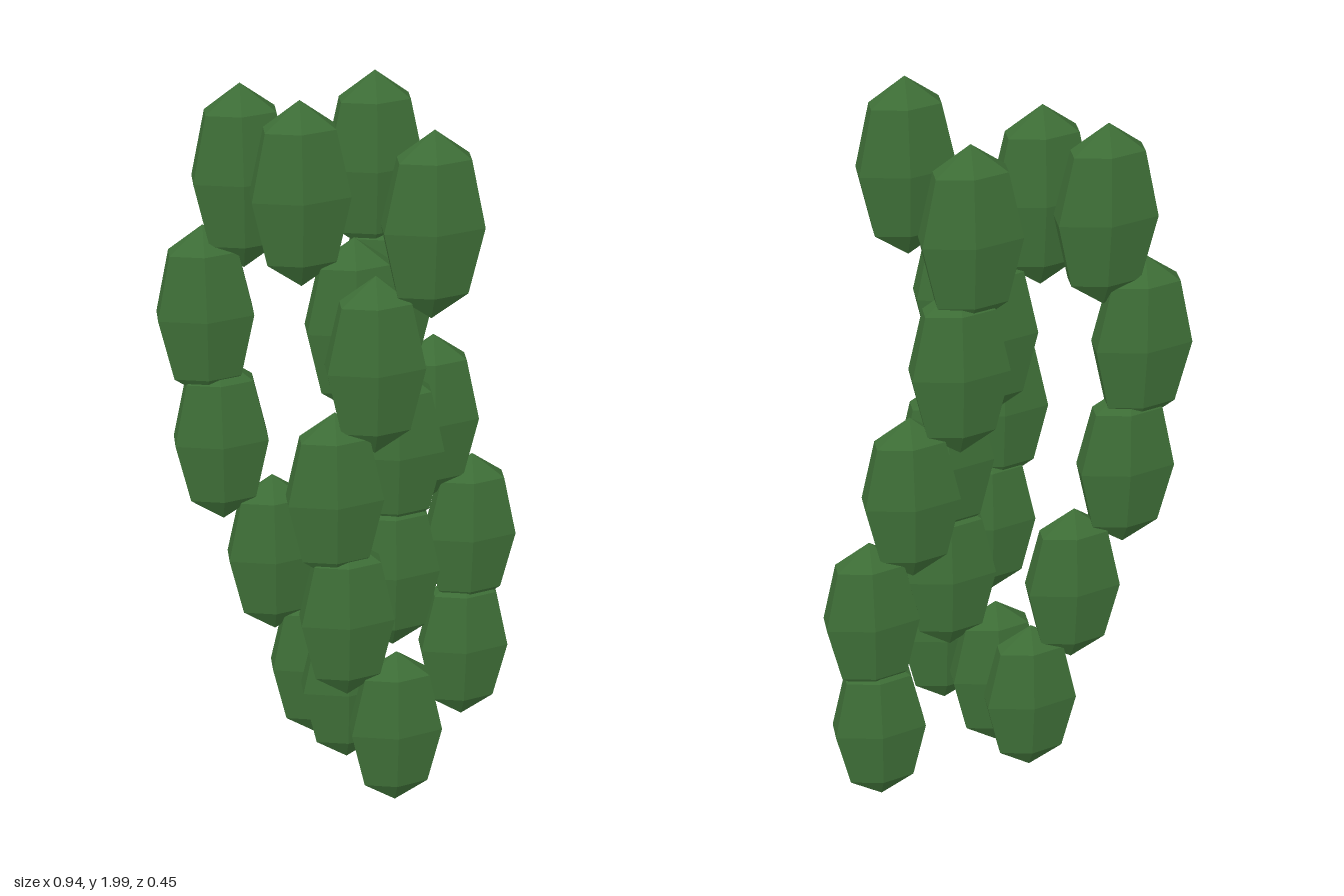
import * as THREE from 'three';

const HALF_HEIGHT = 0.25;
const STEP = 0.3735; // vertical spacing between leaves

// Each strand hangs in its own plane; x lists leaf centres from top to bottom
const STRANDS = [
  { name: 'frontStrand', z: 0.17, x: [0.17, 0.035, -0.065, -0.035, 0.095] },
  { name: 'middleStrand', z: -0.028, x: [-0.12, 0.01, 0.12, 0.115, -0.01] },
  { name: 'rightStrand', z: -0.143, x: [-0.25, -0.35, -0.32, -0.19, -0.08] },
  { name: 'leftStrand', z: -0.172, x: [0.08, 0.11, 0.235, 0.345, 0.335] },
];

export function createModel() {
  const model = new THREE.Group();
  model.name = 'hangingVines';

  const leafGreen = new THREE.MeshStandardMaterial({ color: 0x3f7038, flatShading: true });
  leafGreen.name = 'leafGreen';

  // Flattened six-sided bead with its ridges facing front and back
  const leafShape = new THREE.SphereGeometry(1, 6, 4);
  leafShape.rotateY(Math.PI / 2);
  leafShape.scale(0.139, HALF_HEIGHT, 0.056);

  for (const { name, z, x } of STRANDS) {
    const strand = new THREE.Group();
    strand.name = name;
    strand.position.z = z;
    x.forEach((cx, i) => {
      const leaf = new THREE.Mesh(leafShape, leafGreen);
      leaf.name = `leaf${i + 1}`;
      leaf.position.set(cx, 2 - HALF_HEIGHT - i * STEP, 0);
      strand.add(leaf);
    });
    model.add(strand);
  }
  return model;
}
